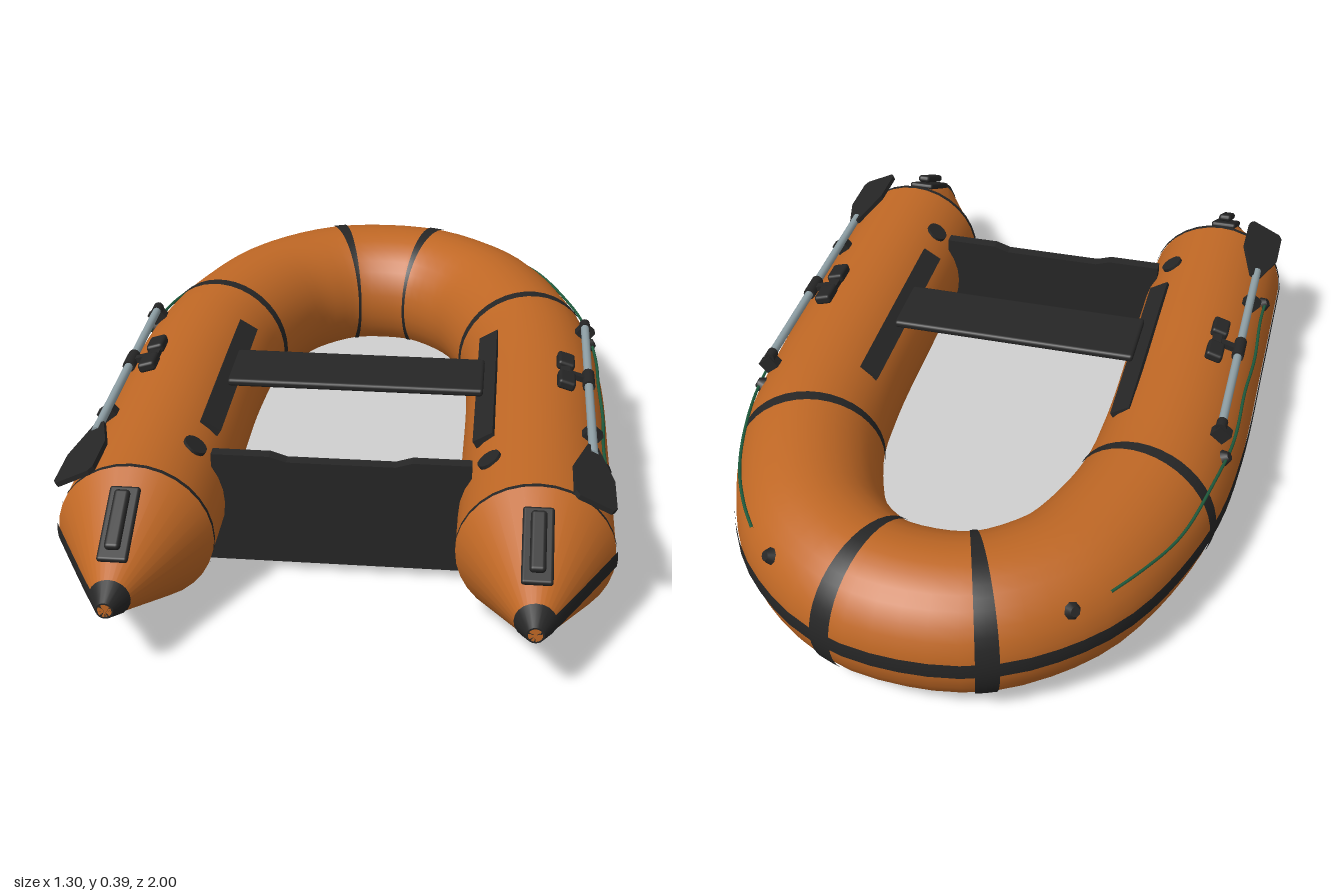
import * as THREE from 'three';
import { ParametricGeometry } from 'three/addons/geometries/ParametricGeometry.js';
import { RoundedBoxGeometry } from 'three/addons/geometries/RoundedBoxGeometry.js';

const R = 0.183, CY = 0.19, CX = 0.463, STERN = 0.69;

function mat(name, color, side = THREE.FrontSide) {
  const m = new THREE.MeshStandardMaterial({ color, side });
  m.name = name;
  return m;
}

export function createModel() {
  const orange = mat('orange fabric', 0xc06825);
  const black = mat('black rubber', 0x262626);
  const blackSheet = black;
  const grey = mat('light grey deck', 0xd0d0d0);
  const metal = mat('brushed metal', 0x8fa0a6);
  const green = mat('green rope', 0x1f5c3e);

  const boat = new THREE.Group();
  boat.name = 'inflatableBoat';
  function add(name, geo, material, x = 0, y = 0, z = 0, rx = 0, ry = 0, rz = 0) {
    const m = new THREE.Mesh(geo, material);
    m.name = name;
    m.position.set(x, y, z);
    m.rotation.set(rx, ry, rz);
    boat.add(m);
    return m;
  }

  // Centre line of the U-shaped tube, from left stern round the bow to right stern
  const half = [[CX, STERN], [CX, 0.3], [0.459, -0.1], [0.43, -0.355], [0.33, -0.62], [0.24, -0.725], [0.13, -0.795]];
  const pts = [...half, [0, -0.815], ...half.slice().reverse().map(([x, z]) => [-x, z])];
  const line = new THREE.CatmullRomCurve3(pts.map(([x, z]) => new THREE.Vector3(x, CY, z)));
  line.arcLengthDivisions = 400;
  const up = new THREE.Vector3(0, 1, 0);

  // Point on the tube surface: u along the line, a round it (0 = outboard)
  function onTube(u, a, r, target = new THREE.Vector3()) {
    u = Math.min(1, Math.max(0, u));
    const n = line.getTangentAt(u).cross(up).normalize();
    return target.copy(line.getPointAt(u)).addScaledVector(n, r * Math.cos(a)).addScaledVector(up, r * Math.sin(a));
  }
  function tubePatch(u0, u1, a0, a1, r, nu, na) {
    return new ParametricGeometry((u, v, t) => onTube(u0 + (u1 - u0) * u, a0 + (a1 - a0) * v, r, t), nu, na);
  }
  function nearest(x, z) {
    let best = 0, dist = Infinity;
    for (let i = 0; i <= 600; i++) {
      const p = line.getPointAt(i / 600), d = Math.hypot(p.x - x, p.z - z);
      if (d < dist) { dist = d; best = i / 600; }
    }
    return best;
  }

  // Main tube with its outboard rubbing strake
  add('mainTube', tubePatch(0, 1, 0, Math.PI * 2, R, 72, 32), orange);
  add('rubbingStrake', tubePatch(0, 1, -0.11, 0.11, R + 0.004, 72, 4), blackSheet);

  // Seam tapes round the tube
  const length = line.getLength();
  for (const s of [1, -1]) {
    for (const [x, z] of [[0.43, -0.355], [0.13, -0.795]]) {
      const u = nearest(s * x, z), w = 0.016 / length;
      add('seamTape', tubePatch(u - w, u + w, 0, Math.PI * 2, R + 0.003, 2, 40), blackSheet);
    }
  }

  // Floor: inner outline of the tube, black underside with a grey deck on top
  const floorShape = new THREE.Shape();
  const floorEnd = 0.53;
  floorShape.moveTo(CX - 0.1, floorEnd);
  for (let i = 0; i <= 48; i++) {
    const p = onTube(0.06 + 0.88 * i / 48, Math.PI, 0.1);
    if (p.z < floorEnd) floorShape.lineTo(p.x, p.z);
  }
  floorShape.lineTo(0.1 - CX, floorEnd);
  const slab = depth => new THREE.ExtrudeGeometry(floorShape, { depth, bevelEnabled: false });
  add('hullBottom', slab(0.03), black, 0, 0.06, 0, Math.PI / 2);
  add('deck', slab(0.01), grey, 0, 0.07, 0, Math.PI / 2);

  // Floor valve
  add('valvePlate', new THREE.CylinderGeometry(0.042, 0.042, 0.008, 5), metal, -0.01, 0.074, -0.47, 0, 0.3);
  add('valveCap', new THREE.CylinderGeometry(0.014, 0.014, 0.008, 10), black, -0.005, 0.08, -0.465);

  // Transom board with a shallow motor cut-out
  const board = new THREE.Shape([
    [-0.36, 0.03], [0.36, 0.03], [0.31, 0.2], [0.31, 0.323], [0.17, 0.323], [0.13, 0.31],
    [-0.13, 0.31], [-0.17, 0.323], [-0.31, 0.323], [-0.31, 0.2],
  ].map(p => new THREE.Vector2(...p)));
  add('transom', new THREE.ExtrudeGeometry(board, { depth: 0.03, bevelEnabled: false }), black, 0, 0, 0.505);

  // Bench seat
  add('seat', new RoundedBoxGeometry(0.65, 0.02, 0.18, 2, 0.008), black, 0, 0.346, 0.12);

  for (const s of [1, -1]) {
    // Seat rail and transom pad
    add('seatRail', new THREE.BoxGeometry(0.055, 0.02, 0.58), black, s * 0.335, 0.325, 0.12, 0, 0, s * 0.55);
    add('transomPad', new THREE.CylinderGeometry(0.03, 0.03, 0.014, 14), black, s * 0.35, 0.334, 0.52, 0, 0, s * 0.6);

    // Stern cone, its base seam, strake and end cap
    const coneLen = 0.31, tipR = 0.016;
    const radiusAt = z => R + (tipR - R) * (z - STERN) / coneLen;
    add('sternCone', new THREE.CylinderGeometry(tipR, R, coneLen, 32), orange, s * CX, CY, STERN + coneLen / 2, Math.PI / 2);
    add('coneSeam', new THREE.CylinderGeometry(R + 0.002, R + 0.002, 0.012, 32, 1, true), black, s * CX, CY, STERN, Math.PI / 2);
    add('coneCap', new THREE.CylinderGeometry(tipR + 0.004, radiusAt(0.95) + 0.004, 0.05, 20), black, s * CX, CY, 0.975, Math.PI / 2);
    const strake = new ParametricGeometry((u, v, t) => {
      const z = STERN + 0.27 * (s > 0 ? 1 - u : u), r = radiusAt(z) + 0.004;
      const h = (v - 0.5) * 0.04;
      t.set(s * (CX + Math.sqrt(r * r - h * h)), CY + h, z);
    }, 8, 4);
    add('coneStrake', strake, black);

    // Carry handle on the cone
    const tilt = Math.atan((R - tipR) / coneLen);
    add('handleBase', new RoundedBoxGeometry(0.07, 0.016, 0.19, 3, 0.007), black, s * CX, CY + radiusAt(0.83) + 0.006, 0.828, tilt);
    add('handleGrip', new RoundedBoxGeometry(0.036, 0.02, 0.15, 3, 0.009), black, s * CX, CY + radiusAt(0.83) + 0.024, 0.838, tilt);

    // Oar: shaft, handle, collar and blade
    const ox = s * 0.59, oy = 0.357;
    const rod = (r, len) => new THREE.CylinderGeometry(r, r, len, 12);
    add('oarShaft', rod(0.011, 0.7), metal, ox, oy, 0.16, Math.PI / 2);
    add('oarHandle', rod(0.014, 0.03), black, ox, oy, -0.195, Math.PI / 2);
    add('oarCollar', rod(0.016, 0.07), black, ox, oy, 0.13, Math.PI / 2);
    const bladeShape = new THREE.Shape([
      [-0.014, 0.48], [0.014, 0.48], [0.052, 0.6], [0.052, 0.72], [0.042, 0.735],
      [-0.042, 0.735], [-0.052, 0.72], [-0.052, 0.6],
    ].map(p => new THREE.Vector2(...p)));
    const blade = new THREE.ExtrudeGeometry(bladeShape, { depth: 0.012, bevelEnabled: false });
    blade.rotateX(Math.PI / 2);
    add('oarBlade', blade, black, ox, oy + 0.006, 0, 0, 0, -s * 0.45);

    // Oarlock: two blocks, a bridge and a pin to the shaft
    for (const z of [0.075, 0.18]) {
      add('oarlockBlock', new RoundedBoxGeometry(0.045, 0.026, 0.065, 2, 0.008), black, s * 0.532, 0.38, z, 0, 0, -s * 0.3);
    }
    add('oarlockBridge', new THREE.BoxGeometry(0.025, 0.018, 0.09), black, s * 0.53, 0.375, 0.128);
    add('oarlockPin', new THREE.BoxGeometry(0.07, 0.014, 0.02), black, s * 0.56, 0.366, 0.128, 0, 0, -s * 0.3);
    for (const z of [-0.2, 0.38]) {
      add('oarClip', new THREE.BoxGeometry(0.04, 0.035, 0.03), black, s * 0.592, 0.338, z, 0, 0, -s * 0.7);
    }

    // Grab rope with its anchors on the outboard side
    const a = 0.54;
    const ends = [nearest(s * CX, 0.46), nearest(s * 0.458, -0.22), nearest(s * 0.25, -0.715)];
    for (const u of ends) {
      const p = onTube(u, a, R + 0.004), n = onTube(u, a, 1).sub(onTube(u, a, 0));
      const anchor = add('ropeAnchor', new THREE.CylinderGeometry(0.012, 0.024, 0.022, 8), black, p.x, p.y, p.z);
      anchor.quaternion.setFromUnitVectors(up, n.normalize());
    }
    const rope = [];
    for (let i = 0; i <= 24; i++) {
      const k = i / 24;
      const u = ends[0] + (ends[2] - ends[0]) * k * 0.94;
      rope.push(onTube(u, a + 0.03 * Math.sin(k * 21), R + 0.007));
    }
    add('grabRope', new THREE.TubeGeometry(new THREE.CatmullRomCurve3(rope), 72, 0.004, 6), green);
  }
  return boat;
}
